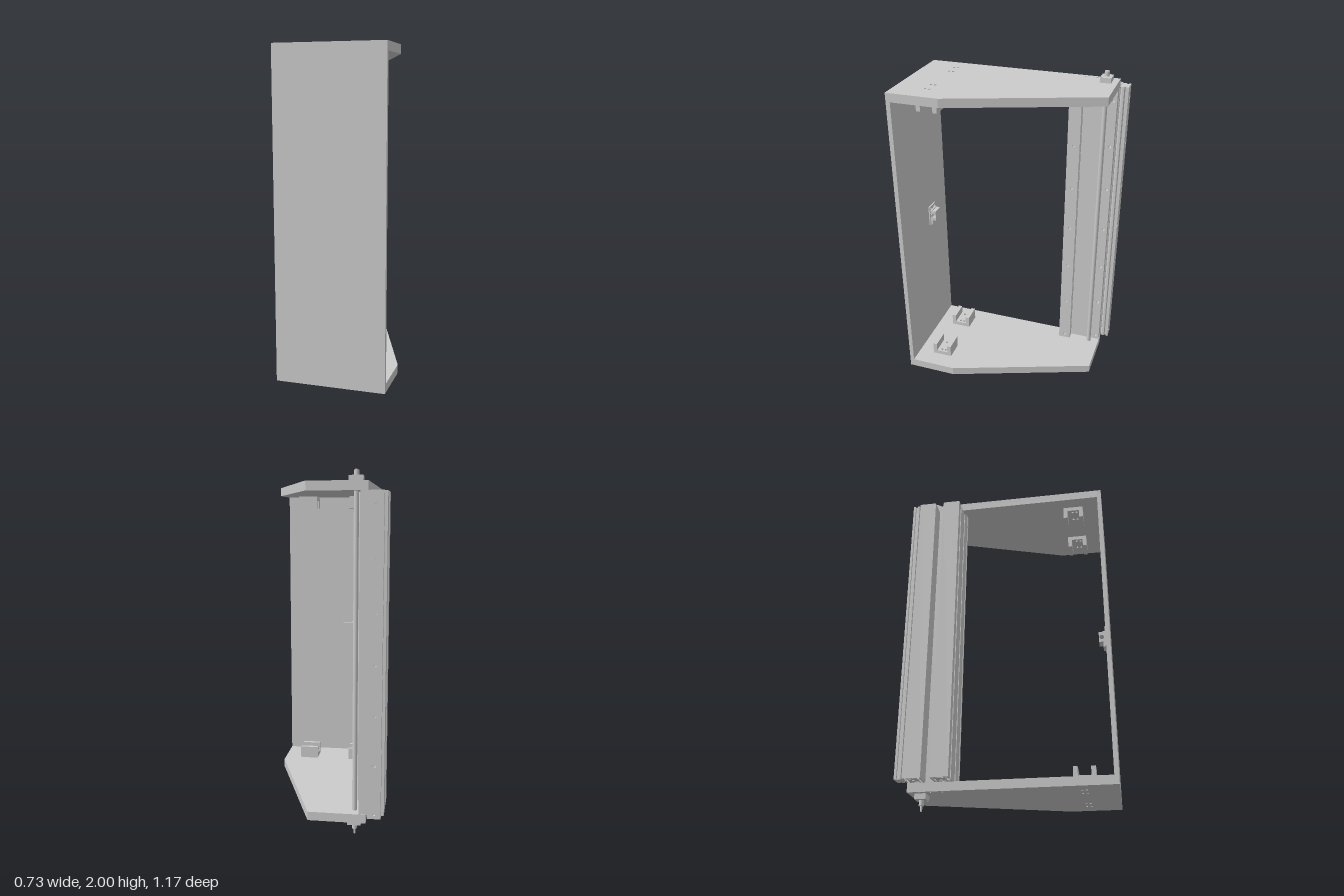
import * as THREE from 'three';

const mat = new THREE.MeshStandardMaterial({ color: 0xcccccc });
const LOW = 0.14, HIGH = 1.89; // inner faces of the end plates

function add(parent, name, geometry, x = 0, y = 0, z = 0) {
  const mesh = new THREE.Mesh(geometry, mat);
  mesh.name = name;
  mesh.position.set(x, y, z);
  parent.add(mesh);
  return mesh;
}
// box from its min and max corners
function box(parent, name, x0, x1, y0, y1, z0, z1) {
  return add(parent, name, new THREE.BoxGeometry(x1 - x0, y1 - y0, z1 - z0),
    (x0 + x1) / 2, (y0 + y1) / 2, (z0 + z1) / 2);
}
const poly = (pts) => new THREE.Shape(pts.map(([x, y]) => new THREE.Vector2(x, y)));
const rect = (x0, x1, y0, y1) => poly([[x0, y0], [x1, y0], [x1, y1], [x0, y1]]);
const circle = (x, y, r) => new THREE.Path().absarc(x, y, r, 0, Math.PI * 2, true);
const extrude = (shape, depth) =>
  new THREE.ExtrudeGeometry(shape, { depth, bevelEnabled: false, curveSegments: 8 });
// extrude a plan shape (x, -z) upwards from y = 0
const extrudeUp = (shape, height) => extrude(shape, height).rotateX(-Math.PI / 2);
const cyl = (r, h) => new THREE.CylinderGeometry(r, r, h, 24);

const boltRows = Array.from({ length: 7 }, (_, i) => 0.167 + i * 0.2755);
const bracketX = [-0.1275, 0.1975];

// tapered end plate with bolt holes
function endPlate() {
  const s = poly([[-0.265, -0.56], [0.36, -0.56], [0.36, -0.285], [0.06, 0.54], [-0.265, 0.54]]);
  for (const x of bracketX) for (const dx of [-0.0375, 0.0375]) for (const z of [0.385, 0.41])
    s.holes.push(circle(x + dx, -z, 0.008));
  for (const z of [-0.48, -0.415, -0.35]) s.holes.push(circle(-0.245, -z, 0.007));
  return extrudeUp(s, 0.05);
}

// U channel running along x, base on y = 0, opening upwards
function channelBracket() {
  const g = new THREE.Group();
  g.name = 'channelBracket';
  const base = rect(-0.0575, 0.0575, -0.465, -0.343);
  for (const dx of [-0.0375, 0.0375]) for (const z of [0.385, 0.41])
    base.holes.push(circle(dx, -z, 0.008));
  add(g, 'bracketBase', extrudeUp(base, 0.025));
  box(g, 'bracketWall', -0.0575, 0.0575, 0.025, 0.075, 0.343, 0.368);
  box(g, 'bracketWall', -0.0575, 0.0575, 0.025, 0.075, 0.44, 0.465);
  return g;
}

// slotted column: open slots on +x and on the side given by s, closed cavities opposite
function slottedColumn(s) {
  const slot = [[-0.008, 0.05], [-0.008, 0.041], [-0.022, 0.041], [-0.022, 0.027],
    [0.022, 0.027], [0.022, 0.041], [0.008, 0.041], [0.008, 0.05]];
  const pts = [[-0.05, -0.05], [-0.05, 0.05], ...slot, [0.05, 0.05],
    ...slot.map(([a, b]) => [b, -a]), [0.05, -0.05]];
  const flip = (p) => p.map(([x, y]) => [x, y * s]);
  const shape = poly(flip(pts));
  const cavity = [[-0.022, -0.041], [0.022, -0.041], [0.022, -0.027], [-0.022, -0.027]];
  shape.holes.push(poly(flip(cavity)), poly(cavity.map(([a, b]) => [b, a])));
  for (const x of [-0.036, 0.036]) for (const y of [-0.036, 0.036])
    shape.holes.push(rect(x - 0.007, x + 0.007, y - 0.007, y + 0.007));
  shape.holes.push(circle(0, 0, 0.009));
  return extrudeUp(shape, HIGH - LOW);
}

// guide rail standing along y, foot at z = 0, drilled head towards +z
function guideRail() {
  const g = new THREE.Group();
  g.name = 'guideRail';
  const half = [[0.025, 0], [0.037, 0.01], [0.037, 0.022], [0.027, 0.027], [0.027, 0.034]];
  const section = [...half, ...half.map(([x, z]) => [-x, z]).reverse()];
  add(g, 'railBody', extrudeUp(poly(section.map(([x, z]) => [x, -z])), HIGH - LOW), 0, LOW, 0);
  const head = rect(-0.037, 0.037, LOW, HIGH);
  for (const y of boltRows) head.holes.push(circle(0, y, 0.009));
  add(g, 'railHead', extrude(head, 0.014), 0, 0, 0.034);
  return g;
}

// bearing block on an end plate, growing up from y = 0
function bearingBlock() {
  const g = new THREE.Group();
  g.name = 'bearingBlock';
  const s = rect(-0.0375, 0.0375, -0.031, 0.031);
  for (const x of [-0.031, 0.031]) for (const z of [-0.024, 0.024])
    s.holes.push(circle(x, z, 0.004));
  add(g, 'bearingHousing', extrudeUp(s, 0.03));
  add(g, 'bearingCollar', cyl(0.014, 0.03), 0, 0.045, 0);
  return g;
}

export function createModel() {
  const model = new THREE.Group();
  model.name = 'linearAxisFrame';

  // enclosure
  box(model, 'frontPanel', -0.265, 0.36, 0.09, 1.94, 0.56, 0.585);
  add(model, 'bottomPlate', endPlate(), 0, 0.09, 0);
  add(model, 'topPlate', endPlate(), 0, HIGH, 0);

  // channel brackets, mirrored top and bottom
  for (const x of bracketX) {
    const low = channelBracket(), high = channelBracket();
    low.position.set(x, LOW, 0);
    high.position.set(x, HIGH, 0.808);
    high.rotation.x = Math.PI;
    model.add(low, high);
  }

  // slotted columns
  add(model, 'rearColumn', slottedColumn(1), -0.315, LOW, -0.49);
  add(model, 'innerColumn', slottedColumn(-1), -0.315, LOW, -0.34);

  // drilled plate joining the columns
  const joining = rect(0.29, 0.537, LOW, HIGH);
  for (const y of boltRows) joining.holes.push(circle(0.514, y, 0.009));
  add(model, 'mountingPlate', extrude(joining, 0.04).rotateY(Math.PI / 2), -0.265, 0, 0);

  // guide rails
  const rearRail = guideRail();
  rearRail.position.set(-0.313, 0, -0.54);
  rearRail.rotation.y = Math.PI;
  const sideRail = guideRail();
  sideRail.position.set(-0.225, 0, -0.311);
  sideRail.rotation.y = Math.PI / 2;
  model.add(rearRail, sideRail);

  // lead screw and its bearings
  add(model, 'leadScrew', cyl(0.0135, HIGH - LOW), -0.197, (LOW + HIGH) / 2, -0.475);
  add(model, 'screwShaft', cyl(0.006, 2), -0.197, 1, -0.475);
  const topBearing = bearingBlock(), bottomBearing = bearingBlock();
  topBearing.position.set(-0.197, 1.94, -0.475);
  topBearing.scale.y = 0.95;
  bottomBearing.position.set(-0.197, 0.09, -0.475);
  bottomBearing.rotation.x = Math.PI;
  model.add(topBearing, bottomBearing);

  // small latch inside the front panel
  const latch = new THREE.Group();
  latch.name = 'latch';
  const back = rect(-0.043, 0.043, 0.953, 1.078);
  for (const x of [-0.025, 0.025]) back.holes.push(circle(x, 1.064, 0.007));
  add(latch, 'latchPlate', extrude(back, 0.008), 0, 0, 0.552);
  const block = poly([[-0.552, 0.953], [-0.541, 0.953], [-0.541, 0.985], [-0.517, 0.985],
    [-0.517, 1.05], [-0.541, 1.05], [-0.541, 1.055], [-0.552, 1.055]]);
  block.holes.push(circle(-0.534, 1.016, 0.014));
  add(latch, 'latchBlock', extrude(block, 0.066).rotateY(Math.PI / 2), -0.033, 0, 0);
  latch.position.x = -0.047;
  model.add(latch);

  return model;
}
